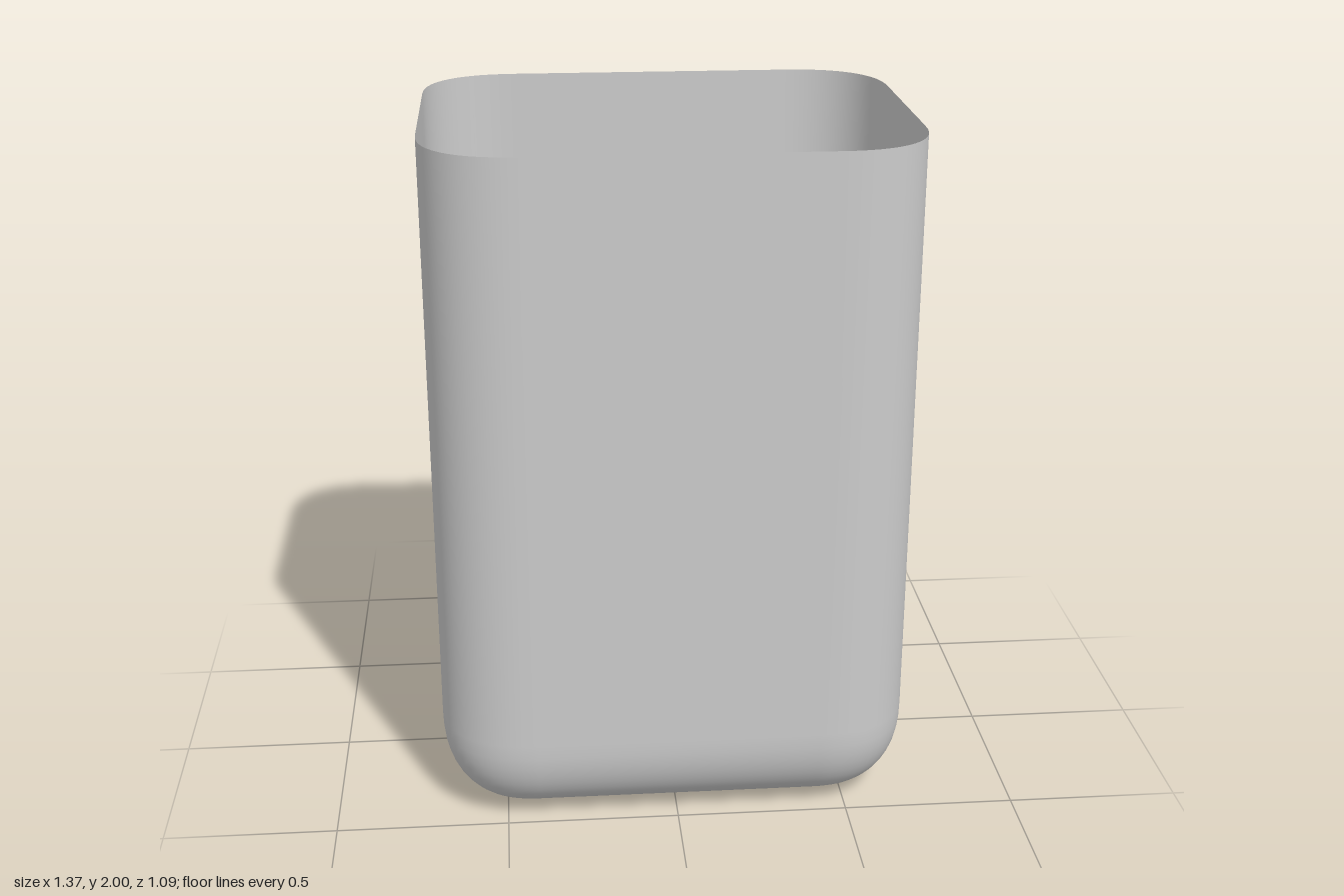
import * as THREE from 'three';
import { mergeVertices } from 'three/addons/utils/BufferGeometryUtils.js';

const HALF_X = 0.687, HALF_Z = 0.546, HEIGHT = 2;
const RADIUS = 0.28;   // reach of the soft corners and bottom edge
const STEPS = 14;      // segments per rounded quarter
const POWER = 2 / 2.4; // slightly squarer than a circle

const soft = (v) => Math.pow(Math.max(v, 0), POWER);

// Unit quarter curve from (1, 0) to (0, 1)
const quarter = Array.from({ length: STEPS + 1 }, (_, i) => {
  const a = (i / STEPS) * Math.PI / 2;
  return i === STEPS ? [0, 1] : [soft(Math.cos(a)), soft(Math.sin(a))];
});

// Rounded rectangle at height y; k = 0 is the flat floor, k = 1 the full wall
function ring(k, y) {
  const cx = HALF_X - RADIUS, cz = HALF_Z - RADIUS, points = [];
  for (const [sx, sz] of [[1, 1], [-1, 1], [-1, -1], [1, -1]]) {
    const arc = sx * sz > 0 ? quarter : [...quarter].reverse();
    for (const [u, v] of arc) {
      points.push(sx * (cx + RADIUS * k * u), y, sz * (cz + RADIUS * k * v));
    }
  }
  return points;
}

function shellGeometry() {
  // Rings climb the rounded bottom edge, then the straight wall to the open rim
  const rings = [...quarter].reverse().map(([k, s]) => ring(k, RADIUS * (1 - s)));
  rings.push(ring(1, HEIGHT));

  const n = 4 * (STEPS + 1);
  const positions = rings.flat();
  const centre = rings.length * n;
  positions.push(0, 0, 0);

  const index = [];
  for (let j = 0; j < n; j++) {
    const next = (j + 1) % n;
    index.push(centre, j, next); // floor
    for (let i = 0; i < rings.length - 1; i++) {
      const a = i * n + j, b = i * n + next;
      index.push(a, a + n, b, b, a + n, b + n);
    }
  }

  const geometry = new THREE.BufferGeometry();
  geometry.setAttribute('position', new THREE.Float32BufferAttribute(positions, 3));
  geometry.setIndex(index);
  const merged = mergeVertices(geometry);
  merged.computeVertexNormals();
  return merged;
}

export function createModel() {
  const group = new THREE.Group();
  group.name = 'openContainer';
  const material = new THREE.MeshStandardMaterial({ color: 0xcccccc, side: THREE.DoubleSide });
  const shell = new THREE.Mesh(shellGeometry(), material);
  shell.name = 'containerShell';
  group.add(shell);
  return group;
}
